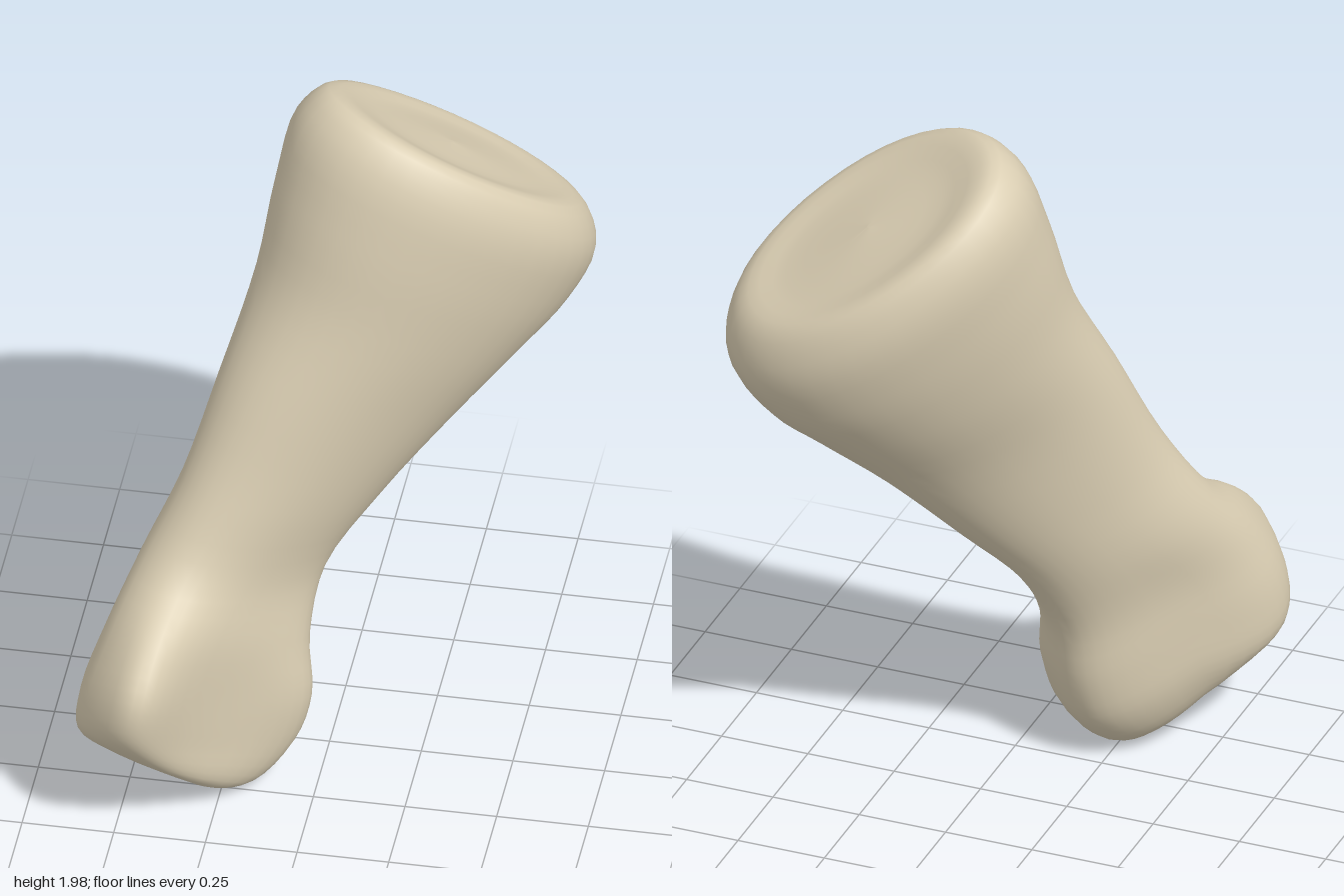
import * as THREE from 'three';

// The bone lies mostly in a diagonal upright plane: u runs along (1,0,-1), v across it.
const R = Math.SQRT1_2;
const toWorld = (u, y, v) => new THREE.Vector3((u + v) * R, y, (v - u) * R);

// Sections from the upper end to the lower end:
// [front edge u, y, back edge u, y, middle v, half width, shear]
const upperSections = [
  [0.45, 1.78, 0.47, 1.77, -0.09, 0.01, 0],
  [0.28, 1.89, 0.68, 1.61, -0.09, 0.18, 0.03],
  [0.15, 1.99, 0.80, 1.53, -0.09, 0.28, 0.05],
  [0.06, 1.93, 0.83, 1.39, -0.09, 0.33, 0.06],
  [-0.02, 1.74, 0.75, 1.25, -0.09, 0.32, 0.05],
  [-0.10, 1.49, 0.61, 1.13, -0.09, 0.28, 0.04],
  [-0.24, 1.23, 0.42, 0.97, -0.09, 0.22, 0.03],
  [-0.38, 0.96, 0.21, 0.77, -0.10, 0.18, 0.01],
];
// The lower end adds [..., squareness, groove, twist]
const lowerSections = [
  [-0.52, 0.76, 0.03, 0.59, -0.10, 0.17, 0, 2.2, 0.1, 0.05],
  [-0.67, 0.62, -0.06, 0.42, -0.05, 0.20, -0.02, 2.5, 0.35, 0.3],
  [-0.76, 0.49, -0.08, 0.25, -0.02, 0.235, -0.03, 2.7, 0.55, 0.45],
  [-0.775, 0.37, -0.13, 0.11, -0.02, 0.22, -0.03, 2.6, 0.5, 0.45],
  [-0.71, 0.28, -0.25, 0.01, -0.02, 0.16, -0.02, 2.3, 0.3, 0.25],
  [-0.60, 0.20, -0.38, 0.03, -0.02, 0.08, 0, 2.1, 0, 0],
  [-0.50, 0.13, -0.48, 0.12, -0.02, 0.01, 0, 2, 0, 0],
];
const sections = [...upperSections, ...lowerSections];

const SIDES = 40;
const STEPS = 56;

function sectionPoint([u1, y1, u2, y2, vMid, half, shear, n = 2.1, groove = 0, twist = 0], angle) {
  const c = Math.cos(angle), s = Math.sin(angle);
  const t = Math.sign(c) * Math.abs(c) ** (2 / n);
  let w = Math.sign(s) * Math.abs(s) ** (2 / n);
  // Hollow between the two knuckles, deeper on one side
  w *= 1 - groove * (s > 0 ? 1 : 0.2) * (1 - t * t);
  const k = (t + 1) / 2;
  // The front knuckle is tilted across its width
  const lift = twist * half * w * Math.max(0, -t);
  return toWorld(u1 + (u2 - u1) * k, y1 + (y2 - y1) * k + lift, vMid + half * w + shear * t);
}

function boneGeometry() {
  const positions = [], index = [];
  // One smooth line along the bone for each point round the section
  const lines = [];
  for (let j = 0; j < SIDES; j++) {
    const angle = (j / SIDES) * Math.PI * 2;
    lines.push(new THREE.CatmullRomCurve3(sections.map((s) => sectionPoint(s, angle)), false, 'centripetal'));
  }
  for (let i = 0; i <= STEPS; i++) {
    for (const line of lines) positions.push(...line.getPoint(i / STEPS).toArray());
  }
  for (let i = 0; i < STEPS; i++) {
    for (let j = 0; j < SIDES; j++) {
      const k = (j + 1) % SIDES;
      const a = i * SIDES + j, b = i * SIDES + k;
      const c = a + SIDES, d = b + SIDES;
      index.push(a, b, c, b, d, c);
    }
  }
  // Close both ends
  const last = STEPS * SIDES;
  for (let j = 1; j < SIDES - 1; j++) {
    index.push(0, j + 1, j, last, last + j, last + j + 1);
  }
  const geometry = new THREE.BufferGeometry();
  geometry.setAttribute('position', new THREE.Float32BufferAttribute(positions, 3));
  geometry.setIndex(index);
  geometry.computeVertexNormals();
  return geometry;
}

export function createModel() {
  const group = new THREE.Group();
  group.name = 'bone';
  const boneMaterial = new THREE.MeshStandardMaterial({ color: 0xd9cdb2 });
  boneMaterial.name = 'bone beige';

  const shaft = new THREE.Mesh(boneGeometry(), boneMaterial);
  shaft.name = 'boneShaftAndEnds';
  group.add(shaft);
  return group;
}
